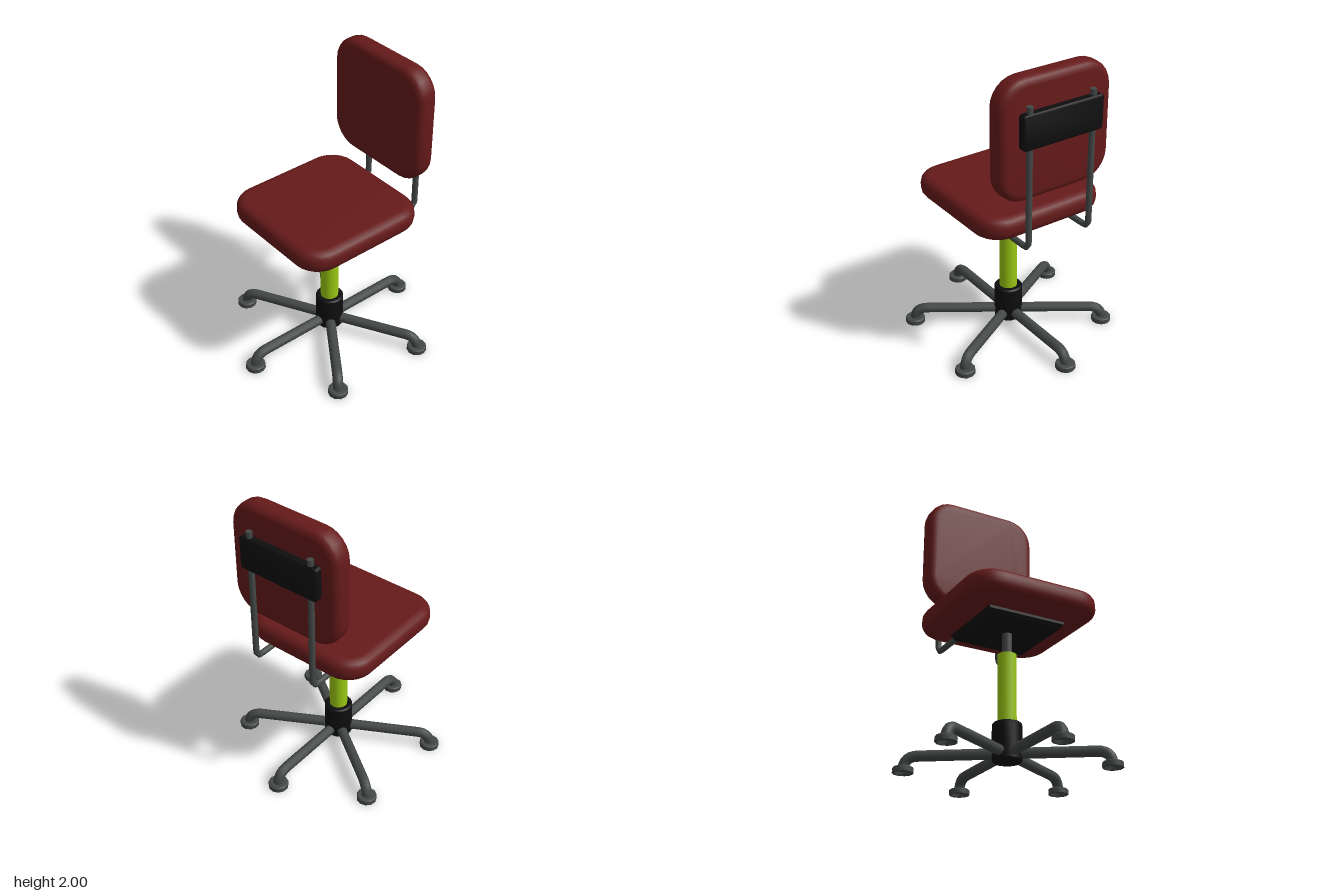
import * as THREE from 'three';
import { toCreasedNormals } from 'three/addons/utils/BufferGeometryUtils.js';

const mat = (color, extra = {}) => {
  const m = new THREE.MeshStandardMaterial(extra);
  m.color.set(color);
  return m;
};

// Rounded slab lying in XY, centred on the origin, with soft bevelled rims
function slab(w, h, depth, corner, bevelSize, bevelThickness, bevelSegments) {
  const x = w / 2 - bevelSize, y = h / 2 - bevelSize, r = corner - bevelSize;
  const s = new THREE.Shape();
  s.absarc(x - r, y - r, r, 0, Math.PI / 2);
  s.absarc(-x + r, y - r, r, Math.PI / 2, Math.PI);
  s.absarc(-x + r, -y + r, r, Math.PI, Math.PI * 1.5);
  s.absarc(x - r, -y + r, r, Math.PI * 1.5, Math.PI * 2);
  const core = depth - 2 * bevelThickness;
  const g = new THREE.ExtrudeGeometry(s, {
    depth: core, bevelSize, bevelThickness, bevelSegments, curveSegments: 3,
  });
  g.translate(0, 0, -core / 2);
  return toCreasedNormals(g, 0.75);
}

// Pipe through straight runs with one rounded bend at the middle point
function bentPipe(a, bend, b, bendSize, radius, sides) {
  const p = [a, bend, b].map((v) => new THREE.Vector3(...v));
  const before = p[1].clone().add(p[0].clone().sub(p[1]).setLength(bendSize));
  const after = p[1].clone().add(p[2].clone().sub(p[1]).setLength(bendSize));
  const curve = new THREE.QuadraticBezierCurve3(before, p[1], after);
  const path = new THREE.CurvePath();
  path.add(new THREE.LineCurve3(p[0], before));
  path.add(curve);
  path.add(new THREE.LineCurve3(after, p[2]));
  return new THREE.TubeGeometry(path, 32, radius, sides, false);
}

const lathe = (points, sides) => toCreasedNormals(
  new THREE.LatheGeometry(points.map(([r, y]) => new THREE.Vector2(r, y)), sides), 0.7);

export function createModel() {
  const model = new THREE.Group();
  model.name = 'swivelChair';
  const red = mat(0x661a1a), black = mat(0x0e0e0e), lime = mat(0x9ac814);
  const steel = mat(0x434846, { side: THREE.DoubleSide });

  const add = (name, geometry, material, x = 0, y = 0, z = 0, parent = model) => {
    const mesh = new THREE.Mesh(geometry, material);
    mesh.name = name;
    mesh.position.set(x, y, z);
    parent.add(mesh);
    return mesh;
  };

  // Cushions
  const seat = slab(0.9, 0.92, 0.15, 0.18, 0.06, 0.06, 4).rotateX(-Math.PI / 2);
  add('seatCushion', seat, red, -0.012, 1.01, 0.025);
  add('backCushion', slab(0.8, 0.78, 0.147, 0.18, 0.05, 0.05, 4), red, 0.007, 1.61, -0.432);

  // Seat plate, narrower on its underside
  const plate = new THREE.BoxGeometry(0.53, 0.05, 0.52, 1, 2, 1);
  const pos = plate.attributes.position;
  for (let i = 0; i < pos.count; i++) {
    if (pos.getY(i) < -0.01) {
      pos.setX(i, pos.getX(i) * 0.93);
      pos.setZ(i, pos.getZ(i) * 0.95);
    }
  }
  add('seatPlate', toCreasedNormals(plate, 0.3), black, 0, 0.918, 0);

  // Back bracket and its two bent posts
  add('backBracket', slab(0.576, 0.222, 0.058, 0.022, 0.01, 0.008, 1), black, 0, 1.695, -0.534);
  for (const side of [-1, 1]) {
    const post = bentPipe([0, 0.918, -0.2], [0, 0.918, -0.533], [0, 1.845, -0.533], 0.045, 0.02, 10);
    add(side > 0 ? 'leftBackPost' : 'rightBackPost', post, steel, side * 0.228);
    const cap = new THREE.CircleGeometry(0.02, 10).rotateX(-Math.PI / 2);
    add('postCap', cap, steel, side * 0.228, 1.845, -0.533);
  }

  // Central column
  add('liftRod', new THREE.CylinderGeometry(0.033, 0.033, 0.18, 16), steel, 0, 0.82, 0);
  add('columnSleeve', new THREE.CylinderGeometry(0.06, 0.06, 0.47, 16), lime, 0, 0.517, 0);
  add('hub', lathe([[0, 0.05], [0.085, 0.05], [0.094, 0.06], [0.094, 0.286],
    [0.085, 0.296], [0, 0.296]], 16), black);

  // Six legs, each a bent pipe ending in a foot with a hollow underside
  const legs = new THREE.Group();
  legs.name = 'base';
  model.add(legs);
  const reach = 0.635;
  const pipe = bentPipe([0.04, 0.105, 0], [reach, 0.105, 0], [reach, 0.012, 0], 0.088, 0.034, 10);
  const foot = lathe([[0, 0.016], [0.048, 0.016], [0.052, 0], [0.066, 0], [0.066, 0.03],
    [0.06, 0.036], [0, 0.036]], 11);
  for (const degrees of [-90, -29.2, 34.3, 90, 151.4, 214.6]) {
    const leg = new THREE.Group();
    leg.name = 'leg';
    leg.rotation.y = -THREE.MathUtils.degToRad(degrees);
    add('legPipe', pipe, steel, 0, 0, 0, leg);
    add('foot', foot, steel, reach, 0, 0, leg);
    legs.add(leg);
  }
  return model;
}
